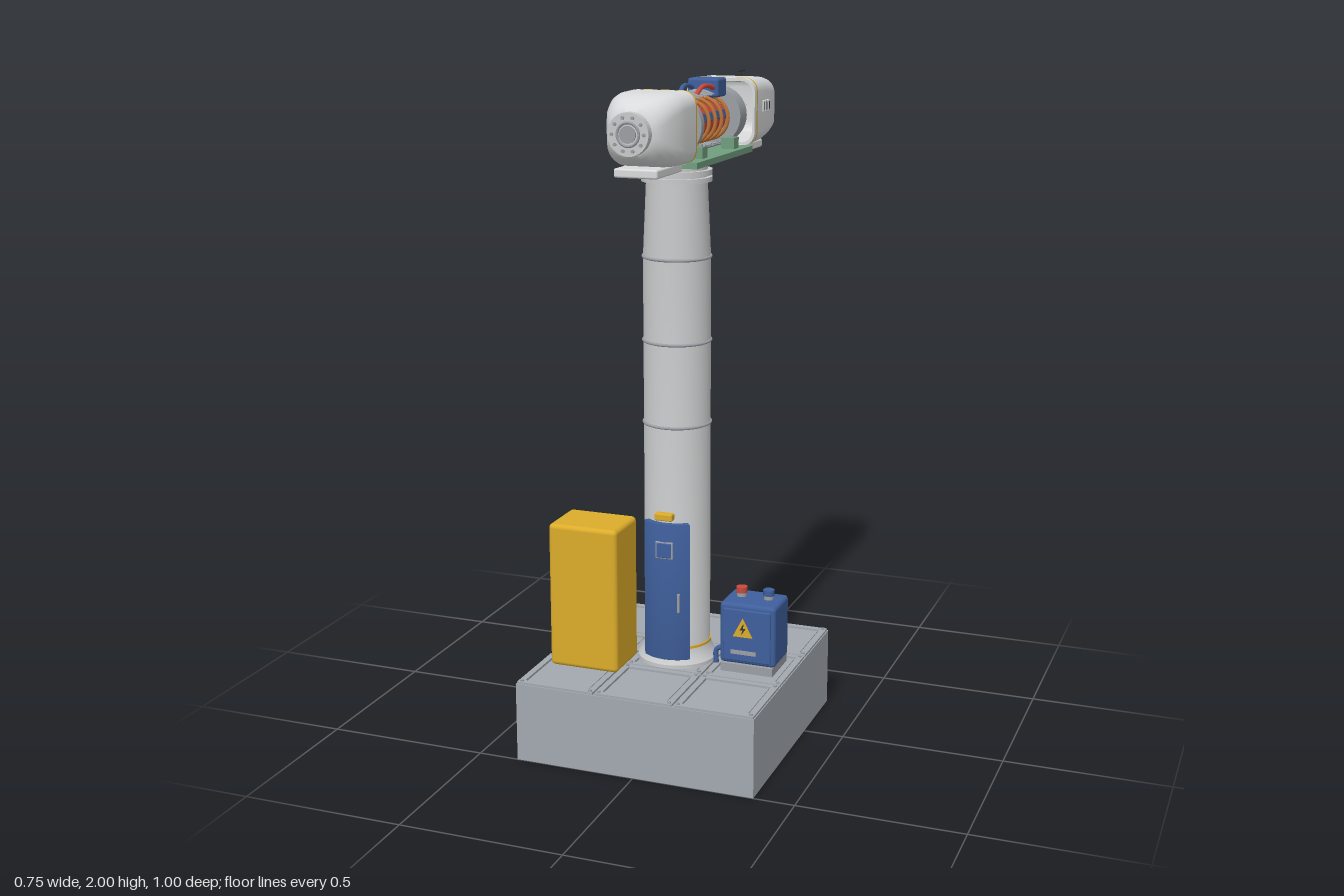
import * as THREE from 'three';
import { toCreasedNormals } from 'three/addons/utils/BufferGeometryUtils.js';
import { RoundedBoxGeometry } from 'three/addons/geometries/RoundedBoxGeometry.js';

const mat = (name, color, side = THREE.FrontSide) => {
  const m = new THREE.MeshStandardMaterial({ color, side });
  m.name = name;
  return m;
};

export function createModel() {
  const M = {
    cover: mat('cover white', 0xd9dadb, THREE.DoubleSide),
    tower: mat('tower grey', 0xc9cacb),
    base: mat('base grey', 0xa3a9b0),
    steel: mat('steel grey', 0x9b9fa4, THREE.DoubleSide),
    blue: mat('blue', 0x3f5f9c),
    gold: mat('gold', 0xdcac2a, THREE.DoubleSide),
    green: mat('green', 0x719e7e),
    red: mat('red', 0xcb4a3c),
    copper: mat('copper', 0xbd7437),
    dark: mat('dark', 0x33373d),
  };
  const root = new THREE.Group();
  root.name = 'windTurbineModel';
  const group = (name, x = 0, y = 0, z = 0) => {
    const g = new THREE.Group();
    g.name = name;
    g.position.set(x, y, z);
    root.add(g);
    return g;
  };
  const add = (parent, name, geo, m, x = 0, y = 0, z = 0) => {
    const mesh = new THREE.Mesh(geo, m);
    mesh.name = name;
    mesh.position.set(x, y, z);
    parent.add(mesh);
    return mesh;
  };
  const box = (w, h, d, r = 0) => (r ? new RoundedBoxGeometry(w, h, d, 3, r) : new THREE.BoxGeometry(w, h, d));
  const cyl = (r, h, n = 32) => new THREE.CylinderGeometry(r, r, h, n);
  const cylZ = (r, h, n = 32) => cyl(r, h, n).rotateX(Math.PI / 2);
  const tube = (pts, r) => new THREE.TubeGeometry(
    new THREE.CatmullRomCurve3(pts.map((p) => new THREE.Vector3(...p))), 24, r, 10);
  const lathe = (pts, n = 48) => toCreasedNormals(
    new THREE.LatheGeometry(pts.map((p) => new THREE.Vector2(...p)), n), 0.5);

  // Rounded-rectangle sections [z, halfWidth, yBottom, yTop, cornerRadius] joined along z
  const loft = (sections, flip) => {
    const per = 8, n = per * 4, pos = [], idx = [];
    for (const [z, w, y0, y1, r] of sections) {
      for (let c = 0; c < 4; c++) for (let k = 0; k < per; k++) {
        const a = (c + k / (per - 1)) * Math.PI / 2;
        const cx = (c === 0 || c === 3 ? 1 : -1) * (w - r);
        const cy = c < 2 ? y1 - r : y0 + r;
        pos.push(cx + r * Math.cos(a), cy + r * Math.sin(a), z);
      }
    }
    for (let i = 0; i < sections.length - 1; i++) for (let j = 0; j < n; j++) {
      const a = i * n + j, b = i * n + (j + 1) % n, c = b + n, d = a + n;
      if (flip) idx.push(a, c, b, a, d, c);
      else idx.push(a, b, c, a, c, d);
    }
    const g = new THREE.BufferGeometry();
    g.setAttribute('position', new THREE.Float32BufferAttribute(pos, 3));
    g.setIndex(idx);
    return toCreasedNormals(g, 0.6);
  };

  // Plinth with a 3 x 3 grid of framed panels
  const base = group('base');
  add(base, 'plinth', box(0.75, 0.244, 0.75), M.base, 0, 0.122, 0.125);
  const square = (h, P) => new P().moveTo(-h, -h).lineTo(h, -h).lineTo(h, h).lineTo(-h, h).closePath();
  const frameShape = square(0.122, THREE.Shape);
  frameShape.holes.push(square(0.103, THREE.Path));
  const frameGeo = new THREE.ExtrudeGeometry(frameShape, { depth: 0.008, bevelEnabled: false }).rotateX(-Math.PI / 2);
  const panelGeo = box(0.194, 0.005, 0.194);
  const boltGeo = cyl(0.006, 0.006, 8);
  for (const x of [-0.25, 0, 0.25]) for (const z of [-0.125, 0.125, 0.375]) {
    add(base, 'panelFrame', frameGeo, M.base, x, 0.243, z);
    add(base, 'panel', panelGeo, M.base, x, 0.2445, z);
    for (const sx of [-1, 1]) for (const sz of [-1, 1])
      add(base, 'panelBolt', boltGeo, M.steel, x + sx * 0.111, 0.252, z + sz * 0.111);
  }

  // Tower with flared foot, joint rings and top flange
  const tower = group('tower', 0, 0, 0.125);
  add(tower, 'towerTube', lathe([[0, 0.246], [0.122, 0.246], [0.122, 0.262], [0.113, 0.275], [0.106, 0.29],
    [0.1, 0.31], [0.1, 1.5], [0.09, 1.72], [0.09, 1.765], [0, 1.765]]), M.tower);
  add(tower, 'footBand', cyl(0.1035, 0.008, 48), M.gold, 0, 0.31, 0);
  for (const y of [1, 1.25, 1.5])
    add(tower, 'jointRing', new THREE.TorusGeometry(0.1, 0.0045, 8, 48).rotateX(Math.PI / 2), M.steel, 0, y, 0);
  add(tower, 'topFlange', cyl(0.104, 0.014, 48), M.tower, 0, 1.727, 0);
  add(tower, 'yawRing', cyl(0.104, 0.016, 48), M.tower, 0, 1.747, 0);

  // Curved access door following the tower
  const arc = 1.34;
  const door = group('door', 0, 0, 0.125);
  const doorShape = new THREE.Shape().absarc(0, 0, 0.113, Math.PI / 2 - arc / 2, Math.PI / 2 + arc / 2)
    .absarc(0, 0, 0.096, Math.PI / 2 + arc / 2, Math.PI / 2 - arc / 2, true);
  const doorGeo = new THREE.ExtrudeGeometry(doorShape, { depth: 0.424, curveSegments: 20, bevelEnabled: true,
    bevelSize: 0.002, bevelThickness: 0.004, bevelSegments: 2 }).rotateX(Math.PI / 2);
  doorGeo.scale(1, 1, 1);
  add(door, 'doorPanel', toCreasedNormals(doorGeo, 0.5), M.blue, 0, 0.704, 0);
  add(door, 'doorWindowFrame', box(0.056, 0.054, 0.008, 0.003), M.steel, 0, 0.625, 0.112);
  add(door, 'doorWindow', box(0.048, 0.046, 0.01, 0.003), M.blue, 0, 0.625, 0.113);
  add(door, 'doorHandle', box(0.008, 0.06, 0.012, 0.003), M.steel, 0.044, 0.46, 0.108);
  add(door, 'doorLamp', box(0.056, 0.022, 0.025, 0.004), M.gold, 0, 0.73, 0.11);

  // Yellow cabinet
  add(root, 'yellowCabinet', box(0.22, 0.45, 0.17, 0.014), M.gold, -0.22, 0.48, 0.265);

  // Transformer box with terminals, warning sign and pipes
  const tr = group('transformer', 0.248, 0, 0.123);
  add(tr, 'skid', box(0.165, 0.026, 0.14), M.steel, 0, 0.262, 0.003);
  add(tr, 'transformerBody', box(0.176, 0.192, 0.135, 0.012), M.blue, 0, 0.37, 0);
  add(tr, 'frontDoor', box(0.15, 0.165, 0.01, 0.004), M.blue, 0, 0.368, 0.068);
  [[-0.043, M.red], [0.043, M.blue]].forEach(([x, m]) => {
    add(tr, 'terminalCollar', cyl(0.015, 0.016, 16), M.steel, x, 0.472, -0.008);
    add(tr, 'terminalKnob', cyl(0.018, 0.018, 8), m, x, 0.487, -0.008);
  });
  const tri = new THREE.Shape().moveTo(-0.031, 0).lineTo(0.031, 0).lineTo(0, 0.06).closePath();
  add(tr, 'warningSign', new THREE.ExtrudeGeometry(tri, { depth: 0.003, bevelEnabled: false }), M.gold, -0.012, 0.365, 0.073);
  const spark = new THREE.Shape().moveTo(0.004, 0.045).lineTo(-0.009, 0.022).lineTo(0, 0.022)
    .lineTo(-0.004, 0.006).lineTo(0.01, 0.028).lineTo(0.002, 0.028).closePath();
  add(tr, 'warningSpark', new THREE.ExtrudeGeometry(spark, { depth: 0.001, bevelEnabled: false }), M.dark, -0.012, 0.365, 0.076);
  add(tr, 'labelStrip', box(0.08, 0.012, 0.005), M.steel, -0.01, 0.315, 0.074);
  add(tr, 'drainPipe', tube([[-0.085, 0.3, 0.02], [-0.105, 0.3, 0.02], [-0.115, 0.29, 0.02], [-0.115, 0.25, 0.02]], 0.008), M.blue);
  add(tr, 'rearPipe', tube([[0.057, 0.31, -0.06], [0.057, 0.31, -0.085], [0.057, 0.295, -0.1], [0.057, 0.248, -0.1]], 0.008), M.cover);
  add(tr, 'rearPipeFlange', cyl(0.016, 0.008, 16), M.cover, 0.057, 0.255, -0.1);

  // Bed plate carrying the drive train
  const nacelle = group('nacelle');
  add(nacelle, 'bedPlate', box(0.21, 0.018, 0.49), M.green, 0, 1.778, -0.005);
  for (const x of [-0.064, 0.064]) for (const z of [0.12, -0.155]) {
    add(nacelle, 'generatorMount', box(0.042, 0.034, 0.044), M.green, x, 1.803, z);
    add(nacelle, 'mountBolt', cyl(0.007, 0.008, 8), M.steel, x + Math.sign(x) * 0.007, 1.823, z);
  }

  // Front and rear cowls: inner skin, rim, then outer skin closing to a tip
  add(nacelle, 'frontCover', loft([[0.4, 0.08, 1.81, 1.965, 0.035], [0.3, 0.1, 1.797, 1.978, 0.035],
    [0.252, 0.102, 1.795, 1.98, 0.035], [0.252, 0.11, 1.786, 1.989, 0.04], [0.34, 0.11, 1.786, 1.989, 0.045],
    [0.375, 0.106, 1.788, 1.987, 0.05], [0.41, 0.097, 1.794, 1.981, 0.055], [0.44, 0.085, 1.804, 1.971, 0.06],
    [0.462, 0.07, 1.816, 1.959, 0.06], [0.475, 0.052, 1.833, 1.942, 0.05], [0.476, 0.001, 1.886, 1.888, 0.001]], false), M.cover);
  add(nacelle, 'rearCover', loft([[-0.42, 0.085, 1.81, 1.965, 0.03], [-0.3, 0.102, 1.797, 1.978, 0.035],
    [-0.252, 0.102, 1.795, 1.98, 0.035], [-0.252, 0.11, 1.786, 1.989, 0.04], [-0.36, 0.11, 1.789, 1.988, 0.042],
    [-0.43, 0.107, 1.797, 1.982, 0.045], [-0.47, 0.102, 1.805, 1.976, 0.045], [-0.488, 0.095, 1.812, 1.969, 0.045],
    [-0.497, 0.085, 1.822, 1.959, 0.04], [-0.5, 0.07, 1.837, 1.945, 0.035], [-0.5, 0.001, 1.886, 1.888, 0.001]], true), M.cover);
  for (const [z, s] of [[0.258, 1], [-0.267, -1]])
    add(nacelle, 'goldBand', loft([[z, 0.1115, 1.7845, 1.9905, 0.041], [z + s * 0.009, 0.1115, 1.7845, 1.9905, 0.041]], s < 0), M.gold);
  add(nacelle, 'frontCoverFoot', box(0.13, 0.026, 0.195, 0.006), M.cover, 0, 1.775, 0.3475);
  add(nacelle, 'rearCoverFoot', box(0.15, 0.026, 0.185, 0.006), M.cover, 0, 1.777, -0.342);

  // Hub flange on the nose
  const hub = group('hub', 0, 1.887, 0);
  add(hub, 'hubFlange', cylZ(0.06, 0.028, 40), M.tower, 0, 0, 0.481);
  add(hub, 'hubRing', new THREE.TorusGeometry(0.032, 0.004, 8, 32), M.steel, 0, 0, 0.495);
  add(hub, 'hubCap', cylZ(0.024, 0.008), M.steel, 0, 0, 0.496);
  for (let i = 0; i < 10; i++) {
    const a = i * Math.PI / 5;
    add(hub, 'hubBolt', cylZ(0.005, 0.006, 8), M.steel, 0.047 * Math.cos(a), 0.047 * Math.sin(a), 0.497);
  }

  // Side vents and wind sensor on the rear cowl
  for (const s of [-1, 1]) for (const z of [-0.335, -0.358, -0.381]) {
    add(nacelle, 'ventHood', box(0.008, 0.036, 0.018, 0.002), M.cover, s * 0.11, 1.9, z);
    add(nacelle, 'ventSlot', box(0.002, 0.024, 0.005), M.dark, s * 0.1142, 1.9, z);
  }
  add(nacelle, 'sensorPost', cyl(0.003, 0.024, 8), M.dark, 0, 1.986, -0.44);
  add(nacelle, 'sensorVane', box(0.005, 0.004, 0.07), M.dark, 0, 1.998, -0.438);

  // Generator: cut-away housing open towards +x
  const gen = group('generator', 0, 1.88, 0);
  const open = 62 * Math.PI / 180, sweep = 238 * Math.PI / 180;
  add(gen, 'housingShell', new THREE.CylinderGeometry(0.083, 0.083, 0.32, 40, 1, true, open + Math.PI / 2, sweep)
    .rotateX(Math.PI / 2), M.steel, 0, 0, -0.025);
  for (const z of [0.105, 0.05, -0.005, -0.06, -0.115, -0.165])
    add(gen, 'housingRib', new THREE.TorusGeometry(0.084, 0.0055, 8, 36, sweep).rotateZ(open), M.steel, 0, 0, z);
  add(gen, 'frontEndPlate', cylZ(0.087, 0.024, 40), M.steel, 0, 0, 0.142);
  add(gen, 'rearDrum', cylZ(0.086, 0.06, 40), M.steel, 0, 0, -0.218);
  add(gen, 'rotor', cylZ(0.052, 0.27), M.red, 0, 0, -0.018);
  for (let i = 0; i < 4; i++) {
    const a = 0.25 + i * Math.PI / 2;
    add(gen, 'rotorPole', box(0.012, 0.026, 0.262, 0.003).rotateZ(a), M.blue, 0.05 * Math.cos(a), 0.05 * Math.sin(a), -0.018);
  }
  for (let i = 0; i < 5; i++)
    add(gen, 'copperWinding', new THREE.TorusGeometry(0.064, 0.006, 8, 36), M.copper, 0, 0, 0.083 - i * 0.055);

  // Drive shaft and brake disc
  add(gen, 'shaft', cylZ(0.016, 0.27, 24), M.tower, 0, 0.005, 0.26);
  add(gen, 'brakeDisc', cylZ(0.044, 0.02), M.copper, 0, 0.005, 0.212);
  add(gen, 'shaftCollar', cylZ(0.023, 0.016, 24), M.tower, 0, 0.005, 0.235);

  // Junction box with two cables
  add(gen, 'junctionBox', box(0.098, 0.056, 0.078, 0.008), M.blue, 0, 0.09, -0.13);
  [[-1, M.blue], [1, M.red]].forEach(([s, m]) => add(gen, 'powerCable',
    tube([[s * 0.033, 0.09, -0.095], [s * 0.032, 0.1, -0.05], [s * 0.029, 0.098, 0], [s * 0.025, 0.076, 0.038]], 0.007), m));

  return root;
}
